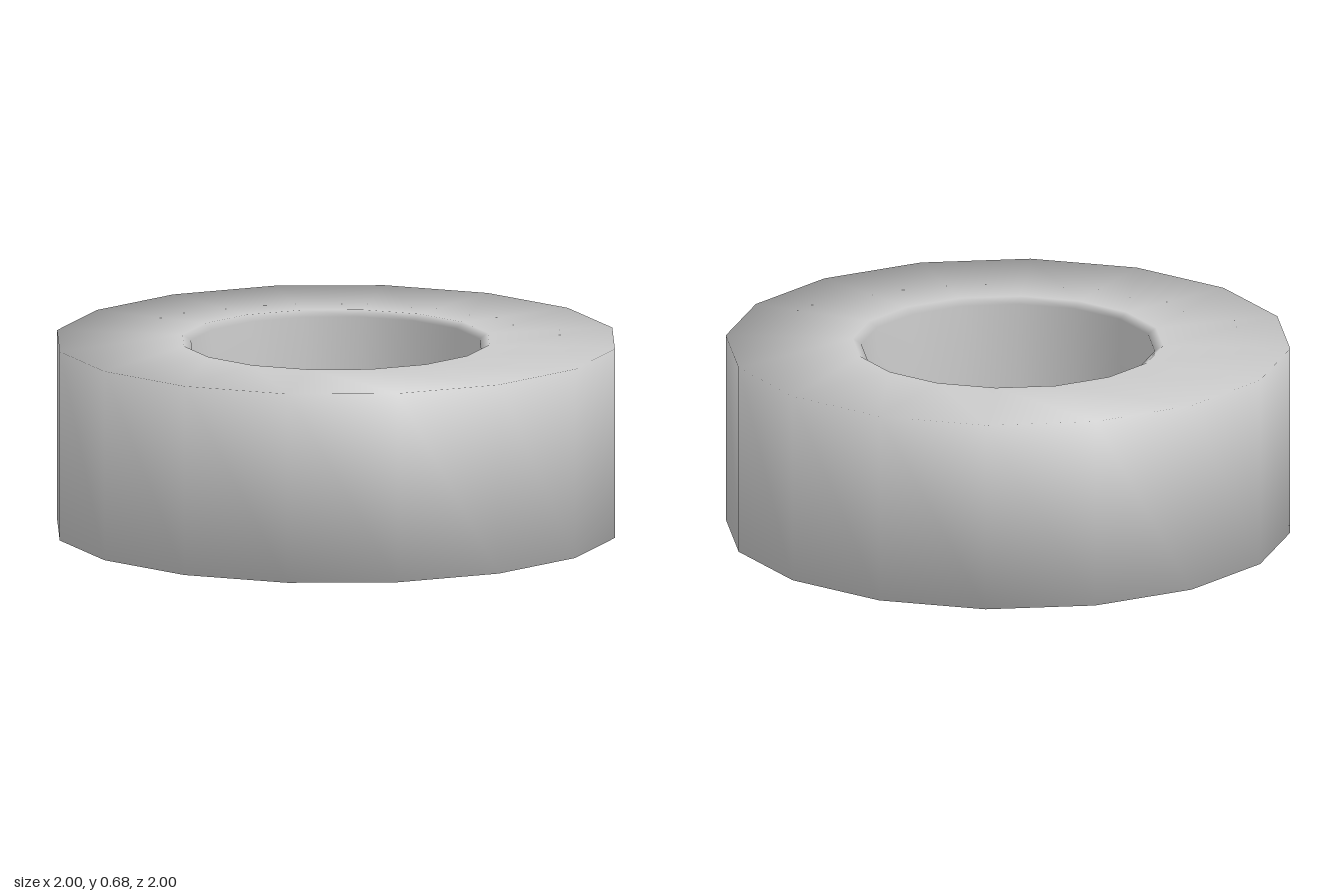
import * as THREE from 'three';
import { mergeVertices } from 'three/addons/utils/BufferGeometryUtils.js';

const SIDES = 16;
const HEIGHT = 0.68;
const OUTER = 1;
const LIP = 0.55;
const HOLE = 0.52;
const DROP = 0.02;

// Closed ring section turned around y, welded so shading runs smoothly over every edge
function ringGeometry() {
  const profile = [
    [OUTER, 0], [OUTER, HEIGHT],
    [LIP, HEIGHT], [HOLE, HEIGHT - DROP],
    [HOLE, DROP], [LIP, 0], [OUTER, 0],
  ].map(([r, y]) => new THREE.Vector2(r, y));
  const lathe = new THREE.LatheGeometry(profile, SIDES);
  lathe.deleteAttribute('normal');
  lathe.deleteAttribute('uv');
  const welded = mergeVertices(lathe);
  welded.computeVertexNormals();
  return welded;
}

export function createModel() {
  const group = new THREE.Group();
  group.name = 'ring';

  // Thick sixteen-sided ring with a slightly bevelled hole
  const body = new THREE.Mesh(
    ringGeometry(),
    new THREE.MeshStandardMaterial({ color: 0xcccccc })
  );
  body.name = 'ringBody';
  group.add(body);

  return group;
}
